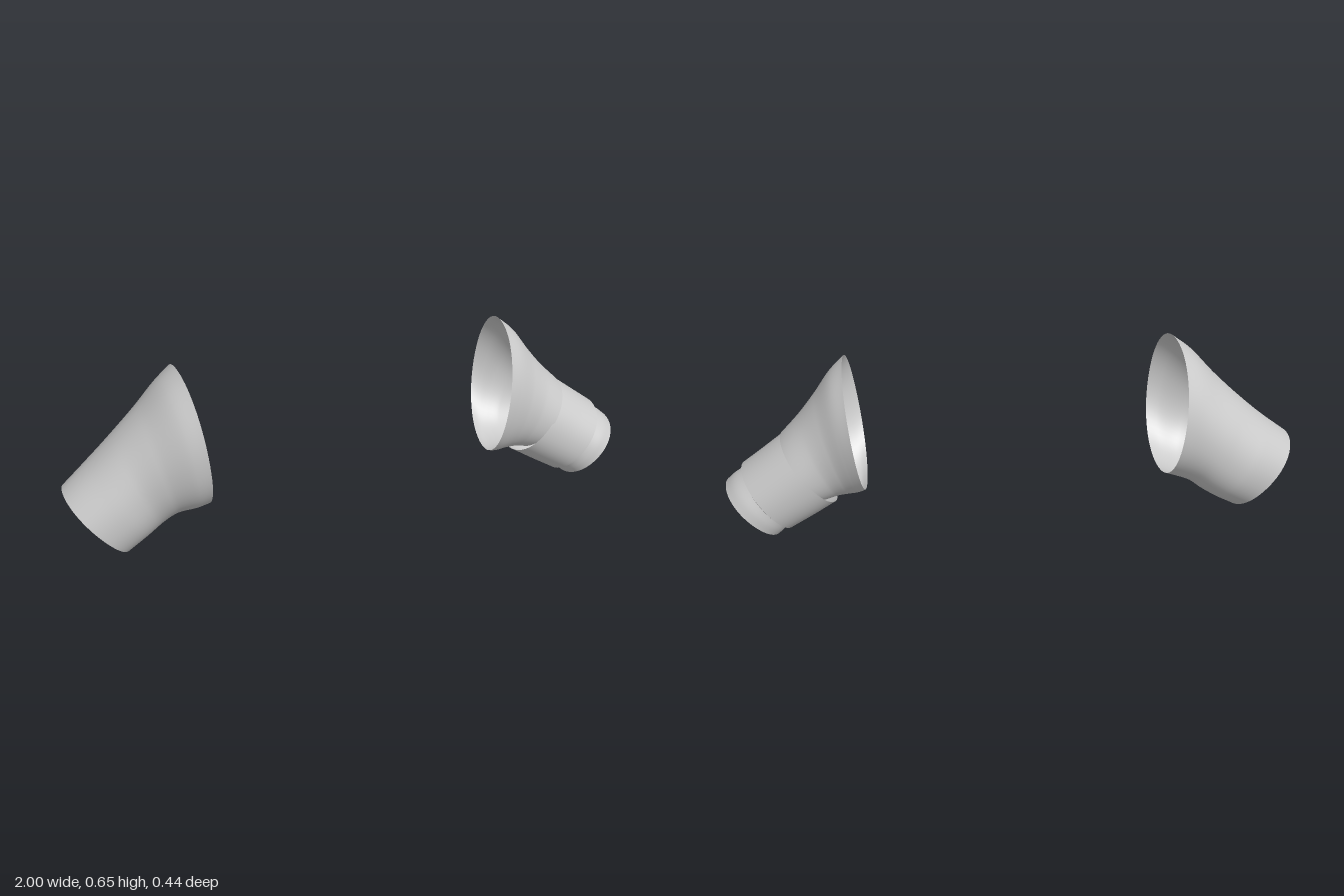
import * as THREE from 'three';

const fabric = new THREE.MeshStandardMaterial({ color: 0xcccccc, side: THREE.DoubleSide });
fabric.name = 'grey fabric';

// Skins a tube through slanted oval sections.
// Each section: [topX, topY, bottomX, bottomY, backZ, frontZ, yaw], yaw shifts x towards the front.
function loft(name, sections, steps = 24, sides = 64) {
  const a = sections.map(s => new THREE.Vector3(s[0], s[1], s[6] || 0));
  const b = sections.map(s => new THREE.Vector3(s[2], s[3], 0));
  const c = sections.map(s => new THREE.Vector3(s[4], s[5], 0));
  const [top, bottom, depth] = [a, b, c].map(p => new THREE.CatmullRomCurve3(p));
  const pos = [], index = [];
  for (let i = 0; i <= steps; i++) {
    const t = i / steps;
    const p = top.getPoint(t), q = bottom.getPoint(t), d = depth.getPoint(t);
    for (let j = 0; j < sides; j++) {
      const ang = j / sides * Math.PI * 2;
      const round = v => Math.sign(v) * Math.pow(Math.abs(v), 0.95);
      const u = round(Math.cos(ang)), w = round(Math.sin(ang));
      pos.push(
        (p.x + q.x) / 2 + (p.x - q.x) / 2 * u + p.z * w,
        (p.y + q.y) / 2 + (p.y - q.y) / 2 * u,
        (d.x + d.y) / 2 + (d.y - d.x) / 2 * w);
      if (i < steps) {
        const k = (j + 1) % sides, m = i * sides;
        index.push(m + j, m + sides + j, m + k, m + k, m + sides + j, m + sides + k);
      }
    }
  }
  // keep the faces turned outwards on both sides of the body
  if (sections[0][0] < 0) index.reverse();
  const geo = new THREE.BufferGeometry();
  geo.setAttribute('position', new THREE.Float32BufferAttribute(pos, 3));
  geo.setIndex(index);
  geo.computeVertexNormals();
  const mesh = new THREE.Mesh(geo, fabric);
  mesh.name = name;
  return mesh;
}

export function createModel() {
  const model = new THREE.Group();
  model.name = 'pair of sleeves';

  // plain right sleeve, from armhole to wrist
  const right = new THREE.Group();
  right.name = 'rightSleeve';
  right.add(loft('rightSleeveBody', [
    [-0.58, 0.656, -0.525, 0.157, -0.225, 0.212, 0.02],
    [-0.64, 0.605, -0.56, 0.143, -0.213, 0.198, 0.015],
    [-0.72, 0.512, -0.62, 0.123, -0.205, 0.163, 0.005],
    [-0.81, 0.418, -0.665, 0.088, -0.197, 0.143],
    [-0.90, 0.33, -0.715, 0.05, -0.19, 0.142],
    [-1.0, 0.243, -0.785, 0.002, -0.168, 0.138],
  ], 40));

  // left sleeve: flared shoulder, cuff panel, narrow end band
  const left = new THREE.Group();
  left.name = 'leftSleeve';
  left.add(loft('leftShoulder', [
    [0.577, 0.655, 0.507, 0.186, -0.225, 0.217, -0.02],
    [0.625, 0.61, 0.53, 0.174, -0.205, 0.19, -0.015],
    [0.68, 0.53, 0.565, 0.17, -0.182, 0.156, -0.005],
    [0.735, 0.457, 0.605, 0.167, -0.168, 0.135],
    [0.802, 0.382, 0.645, 0.16, -0.165, 0.127],
  ], 40));
  left.add(loft('leftCuff', [
    [0.80, 0.38, 0.615, 0.147, -0.168, 0.13],
    [0.872, 0.322, 0.692, 0.096, -0.16, 0.13],
    [0.942, 0.266, 0.772, 0.046, -0.152, 0.132],
  ]));
  left.add(loft('leftCuffStep', [
    [0.942, 0.266, 0.772, 0.046, -0.152, 0.132],
    [0.936, 0.25, 0.785, 0.058, -0.144, 0.125],
  ], 2));
  left.add(loft('leftEndBand', [
    [0.936, 0.25, 0.785, 0.058, -0.144, 0.125],
    [0.972, 0.226, 0.802, 0.038, -0.146, 0.13],
    [1.0, 0.2, 0.816, 0.024, -0.145, 0.131],
  ], 12));
  // turned-in hem
  left.add(loft('leftHem', [
    [1.0, 0.2, 0.816, 0.024, -0.145, 0.131],
    [0.966, 0.222, 0.802, 0.045, -0.14, 0.124],
    [0.915, 0.255, 0.765, 0.073, -0.138, 0.12],
  ], 10));

  model.add(right, left);
  return model;
}
